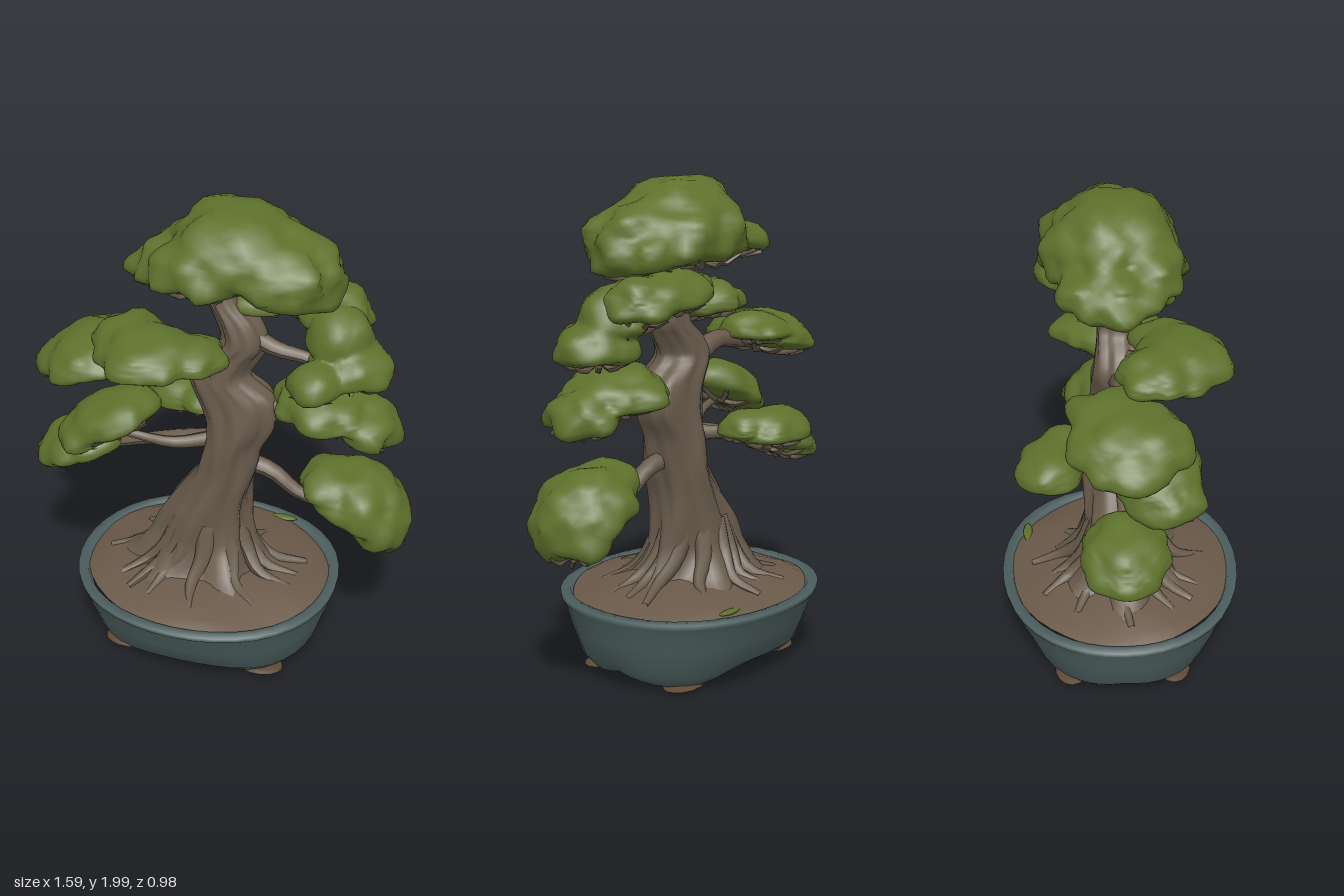
import * as THREE from 'three';
import { mergeVertices, mergeGeometries } from 'three/addons/utils/BufferGeometryUtils.js';

const V = (x, y, z) => new THREE.Vector3(x, y, z);
const paint = (name, color) => Object.assign(new THREE.MeshStandardMaterial({ color }), { name });

// Skin joining closed rings of points, listed from bottom to top
function loft(rings) {
  const n = rings[0].length, index = [];
  for (let i = 0; i < rings.length - 1; i++) {
    for (let j = 0; j < n; j++) {
      const a = i * n + j, b = i * n + (j + 1) % n, c = a + n, d = b + n;
      index.push(a, c, b, b, c, d);
    }
  }
  const g = new THREE.BufferGeometry().setFromPoints(rings.flat());
  g.setIndex(index);
  g.computeVertexNormals();
  return g;
}

const ring = (n, f) => Array.from({ length: n }, (_, j) => f((j / n) * Math.PI * 2));

// Tube that narrows from r0 to r1
function limb(points, r0, r1, segs = 8, sides = 6) {
  const curve = new THREE.CatmullRomCurve3(points);
  const g = new THREE.TubeGeometry(curve, segs, 1, sides);
  const p = g.attributes.position, v = new THREE.Vector3();
  for (let i = 0; i < p.count; i++) {
    const t = Math.floor(i / (sides + 1)) / segs, c = curve.getPointAt(t);
    v.fromBufferAttribute(p, i).sub(c).multiplyScalar(r0 + (r1 - r0) * t).add(c);
    p.setXYZ(i, v.x, v.y, v.z);
  }
  g.computeVertexNormals();
  return g;
}

// Strength of the blended flat-bottomed domes at a point; the skin lies at 1
function padField(p, lobes) {
  let sum = 0;
  for (const [x, y, z, rx, ry, rz, tilt = 0] of lobes) {
    const dx = p.x - x, dy = p.y - y, c = Math.cos(tilt), s = Math.sin(tilt);
    const u = (dx * c + dy * s) / rx, h = (dy * c - dx * s) / ry, w = (p.z - z) / rz;
    const v = h < 0 ? h / 0.3 : h;
    sum += Math.exp(9 * (1 - u * u - v * v - w * w));
  }
  return sum;
}

// One lumpy skin around all lobes of a pad, found along rays from its middle
function foliage(lobes, seed) {
  const mid = V(0, 0, 0), box = new THREE.Box3();
  for (const [x, y, z, rx, ry, rz] of lobes) {
    mid.add(V(x, y + ry * 0.2, z).divideScalar(lobes.length));
    box.expandByPoint(V(x - rx, y, z - rz)).expandByPoint(V(x + rx, y + ry, z + rz));
  }
  const half = box.getSize(V(0, 0, 0)).multiplyScalar(0.5);
  let g = new THREE.IcosahedronGeometry(1, 9);
  g.deleteAttribute('uv');
  g.deleteAttribute('normal');
  g = mergeVertices(g, 1e-4);
  const pos = g.attributes.position, d = V(0, 0, 0), q = V(0, 0, 0);
  for (let i = 0; i < pos.count; i++) {
    d.fromBufferAttribute(pos, i).multiply(half);
    let t = 2;
    while (t > 0.1 && padField(q.copy(mid).addScaledVector(d, t), lobes) < 1) t -= 0.02;
    const lump = Math.abs(Math.sin(15 * q.x + seed + 4 * q.y) * Math.cos(16 * q.z - seed + 6 * q.y));
    const fine = Math.sin(34 * q.x + 2 * seed) * Math.sin(31 * q.z + seed) * Math.cos(29 * q.y + seed);
    q.copy(mid).addScaledVector(d, t * (0.97 + 0.1 * lump + 0.07 * fine));
    pos.setXYZ(i, q.x, q.y, q.z);
  }
  g.computeVertexNormals();
  return g;
}

// Each pad: its branch path, branch radius and lobes [x, y, z, rx, ry, rz, tilt]
const pads = {
  crown: { branch: [[0, 1.6, 0], [0.01, 1.7, -0.01], [0.05, 1.76, -0.02]], r: 0.05, lobes: [
    [0.05, 1.77, -0.03, 0.26, 0.222, 0.25], [0.24, 1.72, -0.02, 0.22, 0.2, 0.24, -0.3],
    [-0.2, 1.71, -0.04, 0.16, 0.11, 0.2, 0.25], [-0.04, 1.73, 0.1, 0.19, 0.16, 0.15],
    [0.1, 1.72, -0.18, 0.23, 0.16, 0.13]] },
  upperLeftFront: { branch: [[0, 1.33, 0], [-0.09, 1.36, 0.08], [-0.2, 1.4, 0.2]], r: 0.04, lobes: [
    [-0.21, 1.42, 0.22, 0.2, 0.12, 0.19, 0.03], [-0.32, 1.43, 0.12, 0.14, 0.11, 0.14],
    [-0.04, 1.42, 0.17, 0.12, 0.08, 0.13, -0.1]] },
  upperLeft: { branch: [[-0.04, 1.24, 0], [-0.2, 1.31, 0], [-0.34, 1.29, 0], [-0.5, 1.25, 0]], r: 0.05, lobes: [
    [-0.52, 1.27, 0.02, 0.2, 0.125, 0.23, 0.2], [-0.4, 1.32, -0.05, 0.14, 0.085, 0.16],
    [-0.63, 1.23, 0.02, 0.115, 0.09, 0.16, 0.15]] },
  midLeft: { branch: [[0, 0.98, 0.02], [-0.17, 0.96, 0.08], [-0.3, 1, 0.13], [-0.42, 1.02, 0.14]], r: 0.032, lobes: [
    [-0.4, 1.05, 0.13, 0.21, 0.125, 0.17, 0.45], [-0.51, 0.98, 0.15, 0.11, 0.1, 0.15, 0.2]] },
  lowerLeft: { branch: [[0, 0.97, 0], [-0.2, 0.93, 0], [-0.4, 0.87, 0], [-0.58, 0.79, 0]], r: 0.038, lobes: [
    [-0.59, 0.82, 0, 0.18, 0.12, 0.17, 0.28], [-0.68, 0.77, 0, 0.11, 0.09, 0.14, 0.1]] },
  back: { branch: [[0.02, 0.97, -0.05], [-0.1, 0.97, -0.17], [-0.2, 0.95, -0.28]], r: 0.035, lobes: [
    [-0.23, 0.96, -0.28, 0.17, 0.11, 0.13], [-0.12, 0.98, -0.22, 0.11, 0.085, 0.11]] },
  lowerRight: { branch: [[0.1, 0.88, 0], [0.22, 0.85, 0], [0.33, 0.77, 0], [0.55, 0.7, -0.02]], r: 0.04, lobes: [
    [0.57, 0.76, -0.02, 0.2, 0.17, 0.2, -0.38], [0.46, 0.84, 0, 0.12, 0.095, 0.15, -0.1],
    [0.67, 0.67, -0.02, 0.12, 0.19, 0.18, -0.15]] },
  midRight: { branch: [[0.14, 1.12, 0], [0.26, 1.16, 0], [0.45, 1.14, -0.02]], r: 0.045, lobes: [
    [0.43, 1.18, -0.03, 0.2, 0.125, 0.22, -0.12], [0.6, 1.11, -0.02, 0.12, 0.12, 0.16, -0.2],
    [0.32, 1.18, 0, 0.09, 0.11, 0.14]] },
  upperRight: { branch: [[0.1, 1.48, 0], [0.22, 1.42, 0], [0.35, 1.4, 0], [0.5, 1.36, 0]], r: 0.04, lobes: [
    [0.51, 1.36, -0.02, 0.17, 0.13, 0.16, -0.05], [0.46, 1.46, -0.05, 0.13, 0.16, 0.14],
    [0.41, 1.35, 0.13, 0.11, 0.1, 0.11]] },
  topRight: { branch: [[0.05, 1.55, 0], [0.14, 1.54, -0.08], [0.3, 1.53, -0.16]], r: 0.032, lobes: [
    [0.29, 1.55, -0.18, 0.22, 0.11, 0.14, -0.1], [0.42, 1.52, -0.14, 0.14, 0.13, 0.16],
    [0.15, 1.57, -0.08, 0.11, 0.09, 0.12]] },
};

export function createModel() {
  const model = new THREE.Group();
  const leaf = paint('leafGreen', 0x5e712c), bark = paint('barkBrown', 0x695b4c);
  const soilMat = paint('soilBrown', 0x6a5949), glaze = paint('potTeal', 0x4e6060);
  const clay = paint('footClay', 0x5c4935);
  const add = (name, geo, mat, parent = model) => {
    const m = new THREE.Mesh(geo, mat);
    m.name = name;
    parent.add(m);
    return m;
  };
  const CX = -0.05;

  // Oval pot: [x radius, z radius, height, foot drop at the four corners]
  const potProfile = [[0, 0, 0.06, 0], [0.24, 0.15, 0.058, 0.015], [0.38, 0.27, 0.055, 0.045],
    [0.44, 0.33, 0.06, 0.043], [0.485, 0.39, 0.1, 0.025], [0.52, 0.445, 0.2, 0],
    [0.54, 0.47, 0.28, 0], [0.553, 0.49, 0.3, 0], [0.556, 0.495, 0.322, 0],
    [0.515, 0.455, 0.326, 0], [0.5, 0.44, 0.29, 0]];
  add('pot', loft(potProfile.map(([rx, rz, y, drop]) => ring(40, (t) => {
    const k = 1 - 0.012 * Math.cos(4 * t), arch = Math.abs(Math.sin(2 * t)) ** (1 + 1.5 * Math.sin(t) ** 2);
    return V(CX + rx * k * Math.cos(t), y - drop * arch, rz * k * Math.sin(t));
  }))), glaze);

  // Unglazed foot soles, nearly flush with the pot
  for (const sx of [-1, 1]) for (const sz of [-1, 1]) {
    const foot = add('foot', new THREE.SphereGeometry(1, 14, 8), clay);
    foot.scale.set(0.1, 0.014, 0.07);
    foot.position.set(CX + sx * 0.29, 0.014, sz * 0.21);
  }

  // Soil mound
  const soilProfile = [[1, 0.315], [0.9, 0.338], [0.7, 0.362], [0.45, 0.385], [0, 0.4]];
  add('soil', loft(soilProfile.map(([k, y]) => ring(36, (t) =>
    V(CX + 0.51 * k * Math.cos(t), y + 0.008 * Math.sin(5 * t + 8 * k), 0.45 * k * Math.sin(t))))), soilMat);
  const moss = add('moss', new THREE.SphereGeometry(1, 10, 6), leaf);
  moss.scale.set(0.06, 0.009, 0.02);
  moss.position.set(0.17, 0.338, -0.385);

  // Winding trunk: [centre x, height, x radius, z radius]
  const trunk = [[-0.08, 0.33, 0.34, 0.27], [-0.08, 0.4, 0.255, 0.21], [-0.07, 0.5, 0.2, 0.155],
    [-0.055, 0.6, 0.18, 0.145], [-0.015, 0.72, 0.14, 0.138], [0.035, 0.84, 0.115, 0.135],
    [0.06, 0.96, 0.112, 0.132], [0.085, 1.08, 0.148, 0.12], [0.06, 1.19, 0.165, 0.11],
    [0, 1.28, 0.115, 0.1], [0.04, 1.36, 0.11, 0.09], [0.1, 1.43, 0.09, 0.085],
    [0.075, 1.52, 0.085, 0.075], [0.015, 1.61, 0.06, 0.06], [0, 1.74, 0.035, 0.035]];
  const centre = new THREE.CatmullRomCurve3(trunk.map(([x, y]) => V(x, y, 0)));
  const radii = new THREE.CatmullRomCurve3(trunk.map(([, , rx, rz]) => V(rx, rz, 0)));
  const trunkRings = [];
  for (let i = 0; i <= 56; i++) {
    const c = centre.getPoint(i / 56), r = radii.getPoint(i / 56);
    const flare = Math.max(0, 1 - (c.y - 0.33) / 0.3);
    trunkRings.push(ring(40, (t) => {
      const k = 1 + (0.06 + 0.1 * flare) * Math.sin(6 * t + 6 * c.y)
        + 0.045 * Math.sin(11 * t - 8 * c.y) + 0.035 * Math.sin(3 * t + 15 * c.y);
      return V(c.x + r.x * k * Math.cos(t), c.y, r.y * k * Math.sin(t));
    }));
  }
  add('trunk', loft(trunkRings), bark);

  // Surface roots fanning over the soil
  const roots = [];
  for (let i = 0; i < 14; i++) {
    const t = (i / 14) * Math.PI * 2 + 0.2 * Math.sin(i * 5), reach = 0.88 + 0.12 * Math.sin(i * 3.1);
    const at = (k, y, turn) => V(-0.06 + 0.45 * k * Math.cos(t + turn), y, 0.39 * k * Math.sin(t + turn));
    roots.push(limb([at(0.26, 0.6, -0.25), at(0.42, 0.46, -0.08), at(0.66 * reach, 0.385, 0.06),
      at(reach, 0.345, 0)], 0.045, 0.014, 10, 7));
  }
  add('roots', mergeGeometries(roots), bark);

  // Branches, twigs and foliage pads
  let seed = 1;
  for (const [name, { branch, r, lobes }] of Object.entries(pads)) {
    const pad = new THREE.Group();
    pad.name = name + 'Pad';
    model.add(pad);
    const path = branch.map((b) => V(...b));
    const wood = [limb(path, r, r * 0.4, 10, 8)];
    const start = path[path.length - 2].clone().lerp(path[path.length - 1], 0.8);
    for (const [x, y, z, rx, ry, rz, tilt = 0] of lobes) {
      seed++;
      for (let i = 0; i < 9; i++) {
        const t = (i / 9) * Math.PI * 2 + seed;
        const under = (k, drop) => V(x + rx * k * Math.cos(t),
          y - drop * ry + Math.tan(tilt) * rx * k * Math.cos(t), z + rz * k * Math.sin(t));
        wood.push(limb([start, under(0.3, 0.38), under(0.6, 0.33), under(0.85, 0.14)], 0.018, 0.01, 5, 4));
      }
    }
    add('branch', mergeGeometries(wood), bark, pad);
    add('foliage', foliage(lobes, seed * 1.7), leaf, pad);
  }
  return model;
}
